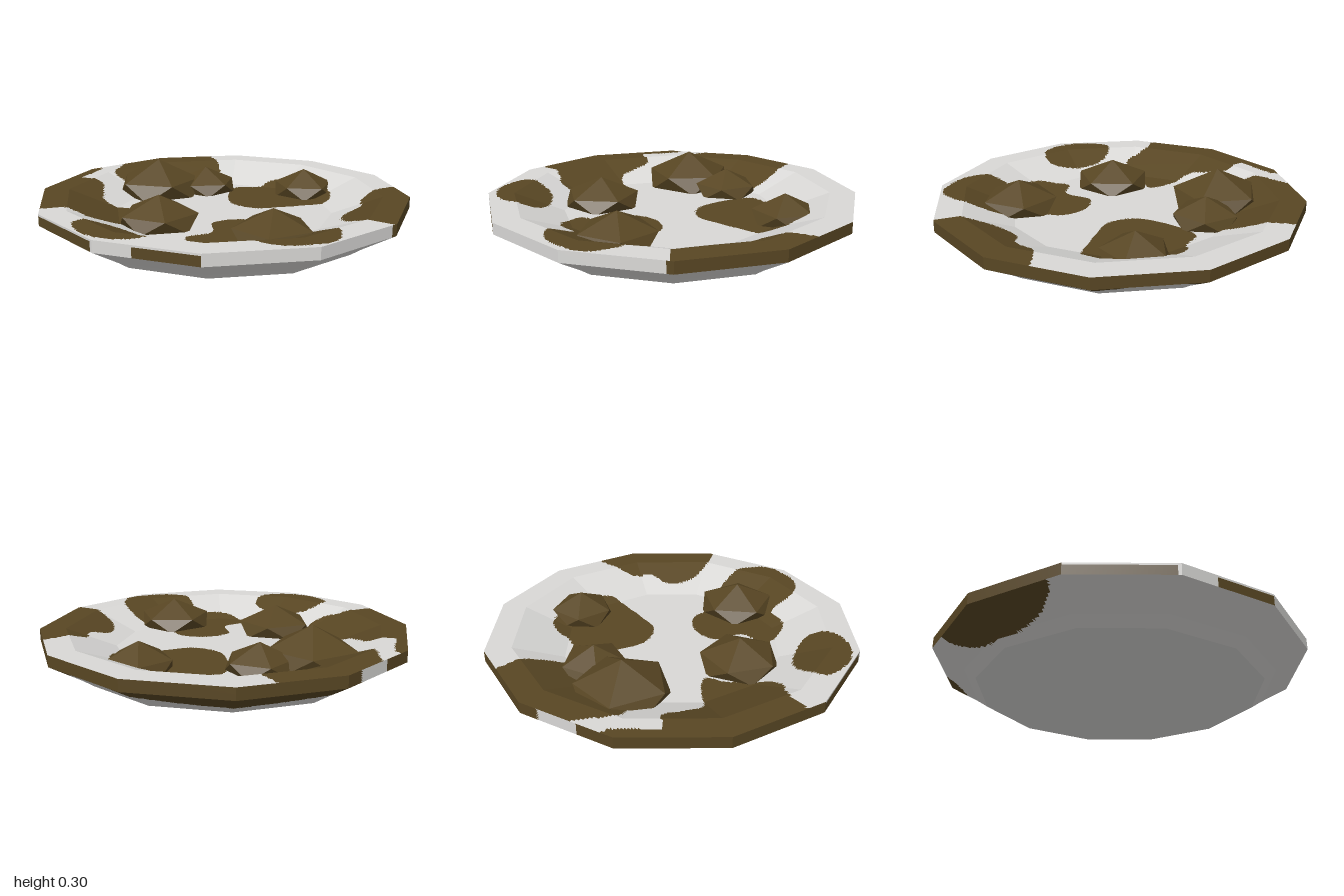
import * as THREE from 'three';

const SIDES = 12, COLS = 32, DEG = Math.PI / 180;

// Outlines of the dirt patches seen from above, as [x, z] points
const patchOutlines = [
  [[-.18, -.95], [-.12, -.83], [-.08, -.64], [-.12, -.48], [-.3, -.32], [-.5, -.34], [-.64, -.39], [-.71, -.45], [-.7, -.6], [-.69, -.75], [-.5, -1.1], [-.22, -1.1]],
  [[-.81, -.53], [-.83, -.4], [-.86, -.28], [-.74, -.25], [-.7, -.13], [-.67, -.03], [-.48, .02], [-.39, .07], [-.45, .16], [-.5, .32], [-.61, .39], [-.77, .36], [-.9, .4], [-1.1, .4], [-1.1, -.5], [-.9, -.6]],
  [[-.66, .6], [-.58, .53], [-.45, .52], [-.29, .62], [-.23, .72], [-.32, .83], [-.48, .83], [-.61, .73]],
  [[-.03, .23], [.11, .16], [.24, .2], [.3, .3], [.5, .45], [.6, .62], [.57, .78], [.46, .84], [.33, .86], [.2, .79], [.14, .64], [-.02, .65], [-.14, .49], [-.02, .4]],
  [[.03, -.51], [.17, -.54], [.25, -.6], [.35, -.6], [.44, -.52], [.57, -.4], [.58, -.21], [.46, -.15], [.3, -.09], [.17, -.06], [.03, -.16]],
  [[.94, -.22], [.75, -.05], [.74, .06], [.65, .14], [.63, .27], [.73, .43], [.87, .51], [1.1, .5], [1.1, -.25]],
].map(points => new THREE.CatmullRomCurve3(
  points.map(([x, z]) => new THREE.Vector3(x, 0, z)), true).getPoints(90));

function inside(poly, x, z) {
  let hit = false;
  for (let i = 0, j = poly.length - 1; i < poly.length; j = i++) {
    const a = poly[i], b = poly[j];
    if ((a.z > z) !== (b.z > z) && x < (b.x - a.x) * (z - a.z) / (b.z - a.z) + a.x) hit = !hit;
  }
  return hit;
}

// Which points of each band are dirty; angle runs 0..360 from +x towards +z
const topDirt = p => patchOutlines.some(poly => inside(poly, p.x, p.z));
const wallDirt = (p, angle) => {
  if (angle > 90 && angle < 109) return p.y < 0.19;
  if (angle > 121 && angle < 150) return p.y < 0.19;
  return angle < 32 || (angle >= 150 && angle < 221) || angle > 234;
};
// Drips on the underside: centre angle, half width, depth
const drips = [[340, 19, 0.06], [268, 37, 0.095], [178, 24, 0.11]];
const underDirt = (p, angle) => drips.some(([c, w, d]) => {
  const u = (angle - c) / w;
  return Math.abs(u) < 1 && p.y > 0.14 - d * Math.sqrt(1 - u * u);
});
const clean = () => false;

// Bands of the plate from the bottom centre round to the floor centre:
// [name, start radius, start y, end radius, end y, rows, dirt rule]
const bands = [
  ['base', 0, 0, 0.77, 0, 1, clean],
  ['foot', 0.77, 0, 0.83, 0.04, 4, underDirt],
  ['underside', 0.83, 0.04, 1, 0.14, 12, underDirt],
  ['outerWall', 1, 0.14, 1, 0.2, 6, wallDirt],
  ['rim', 1, 0.2, 0.86, 0.2, 10, topDirt],
  ['innerSlope', 0.86, 0.2, 0.59, 0.1, 18, topDirt],
  ['floor', 0.59, 0.1, 0, 0.1, 38, topDirt],
];

// One band cut into small faces, sorted into a clean and a dirty material group
function bandMesh([name, r0, y0, r1, y1, rows, rule], materials) {
  const faces = [[], []];
  const point = (row, col) => {
    const t = row / rows, r = r0 + (r1 - r0) * t;
    const side = Math.floor(col / COLS), f = col / COLS - side;
    const a = side * 360 / SIDES * DEG, b = (side + 1) * 360 / SIDES * DEG;
    return new THREE.Vector3(
      r * (Math.cos(a) * (1 - f) + Math.cos(b) * f), y0 + (y1 - y0) * t,
      r * (Math.sin(a) * (1 - f) + Math.sin(b) * f));
  };
  const addFace = (a, b, c) => {
    const m = a.clone().add(b).add(c).divideScalar(3);
    const angle = (Math.atan2(m.z, m.x) / DEG + 360) % 360;
    const list = faces[rule(m, angle) ? 1 : 0];
    for (const p of [a, b, c]) list.push(p.x, p.y, p.z);
  };
  for (let row = 0; row < rows; row++) {
    for (let col = 0; col < SIDES * COLS; col++) {
      const a = point(row, col), b = point(row, col + 1);
      const d = point(row + 1, col), c = point(row + 1, col + 1);
      if (r1 > 0 || row < rows - 1) addFace(a, d, c);
      if (r0 > 0 || row > 0) addFace(a, c, b);
    }
  }
  const geometry = new THREE.BufferGeometry();
  geometry.setAttribute('position', new THREE.Float32BufferAttribute(faces[0].concat(faces[1]), 3));
  const cleanCount = faces[0].length / 3;
  geometry.addGroup(0, cleanCount, 0);
  geometry.addGroup(cleanCount, faces[1].length / 3, 1);
  geometry.computeVertexNormals();
  const mesh = new THREE.Mesh(geometry, materials);
  mesh.name = name;
  return mesh;
}

// Faceted lump with one point up, its lower half flattened onto the floor
function lumpMesh([x, z, radius, peak, turn], material) {
  const floor = 0.09;
  const geometry = new THREE.IcosahedronGeometry(1, 0);
  geometry.rotateZ(-Math.atan(2 / (1 + Math.sqrt(5))));
  geometry.rotateY(turn * DEG);
  geometry.scale(radius / 0.894, peak - floor, radius / 0.894);
  geometry.translate(x, floor, z);
  const pos = geometry.attributes.position;
  for (let i = 0; i < pos.count; i++) pos.setY(i, Math.max(pos.getY(i), floor));
  geometry.computeVertexNormals();
  const mesh = new THREE.Mesh(geometry, material);
  mesh.name = 'lump';
  return mesh;
}

export function createModel() {
  const ceramic = new THREE.MeshStandardMaterial({ color: 0xd9d8d6 });
  ceramic.name = 'pale ceramic';
  const dirt = new THREE.MeshStandardMaterial({ color: 0x584623 });
  dirt.name = 'brown dirt';

  const model = new THREE.Group();
  model.name = 'dirtyPlate';

  const plate = new THREE.Group();
  plate.name = 'plate';
  for (const band of bands) plate.add(bandMesh(band, [ceramic, dirt]));
  model.add(plate);

  // Lumps: x, z, radius, peak height, turn
  const lumps = new THREE.Group();
  lumps.name = 'lumps';
  for (const lump of [
    [-0.42, -0.365, 0.24, 0.3, 10],
    [-0.15, -0.455, 0.175, 0.24, 30],
    [-0.305, 0.28, 0.205, 0.255, 0],
    [0.285, 0.475, 0.205, 0.255, 50],
    [0.44, -0.425, 0.172, 0.245, 20],
  ]) lumps.add(lumpMesh(lump, dirt));
  model.add(lumps);

  return model;
}
